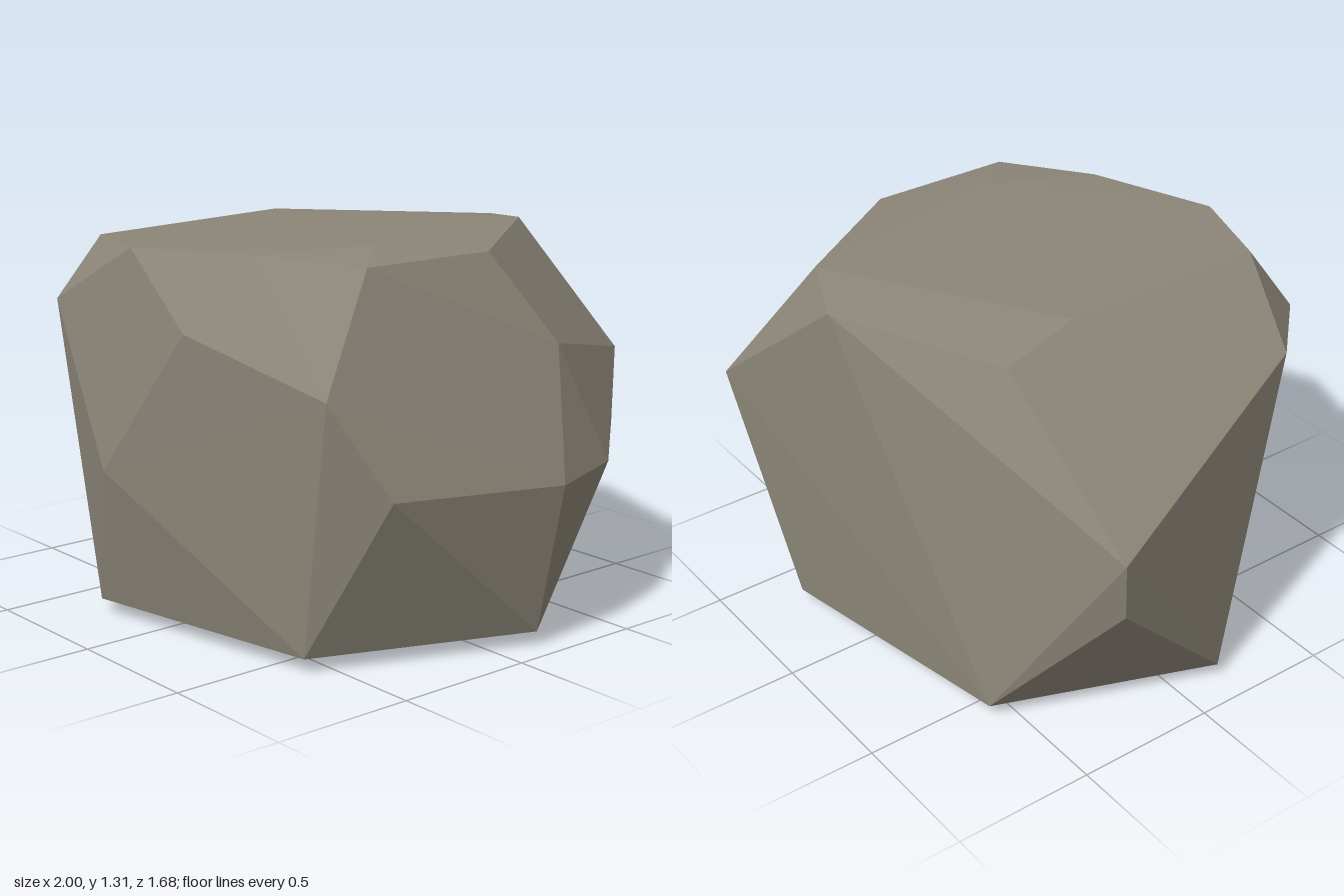
import * as THREE from 'three';
import { ConvexGeometry } from 'three/addons/geometries/ConvexGeometry.js';

export function createModel() {
  const stone = new THREE.MeshStandardMaterial({ color: 0x8c8678 });
  stone.name = 'stone';

  // Corner points of the boulder, ring by ring from the ground up
  const rings = {
    underside: [[0.41, 0, -0.24]],
    base: [
      [-0.88, 0.05, 0.16], [-0.27, 0.05, 0.76], [0.63, 0.05, 0.6],
      [0.92, 0.05, -0.15], [0.32, 0.05, -0.76], [-0.59, 0.05, -0.59],
    ],
    waist: [
      [-0.98, 0.555, -0.34], [-0.12, 0.55, 0.84], [0.88, 0.59, 0.45],
      [1, 0.56, -0.18], [0.91, 0.57, -0.48], [0.72, 0.635, -0.7],
    ],
    shoulder: [
      [-1, 0.775, -0.36], [-0.73, 1.09, 0.52], [-0.48, 1.07, 0.77],
      [0.23, 1.055, 0.76], [0.75, 0.905, 0.61], [0.81, 0.905, 0.2],
      [0.83, 0.98, -0.31], [0.6, 0.86, -0.84],
    ],
    crown: [
      [-0.47, 1.248, -0.42], [-0.42, 1.3, -0.13], [-0.4, 1.285, 0.64],
      [-0.08, 1.29, 0.74], [0.34, 1.3, 0.56], [0.66, 1.28, 0.37],
      [0.67, 1.28, -0.14], [0.34, 1.31, -0.61], [0.09, 1.285, -0.72],
      [0.49, 1.312, 0.2],
    ],
  };
  const points = Object.values(rings).flat().map((p) => new THREE.Vector3(...p));

  // Faceted boulder: flat faces stretched over the corners
  const boulder = new THREE.Mesh(new ConvexGeometry(points), stone);
  boulder.name = 'boulder';

  const model = new THREE.Group();
  model.name = 'rock';
  model.add(boulder);
  return model;
}
